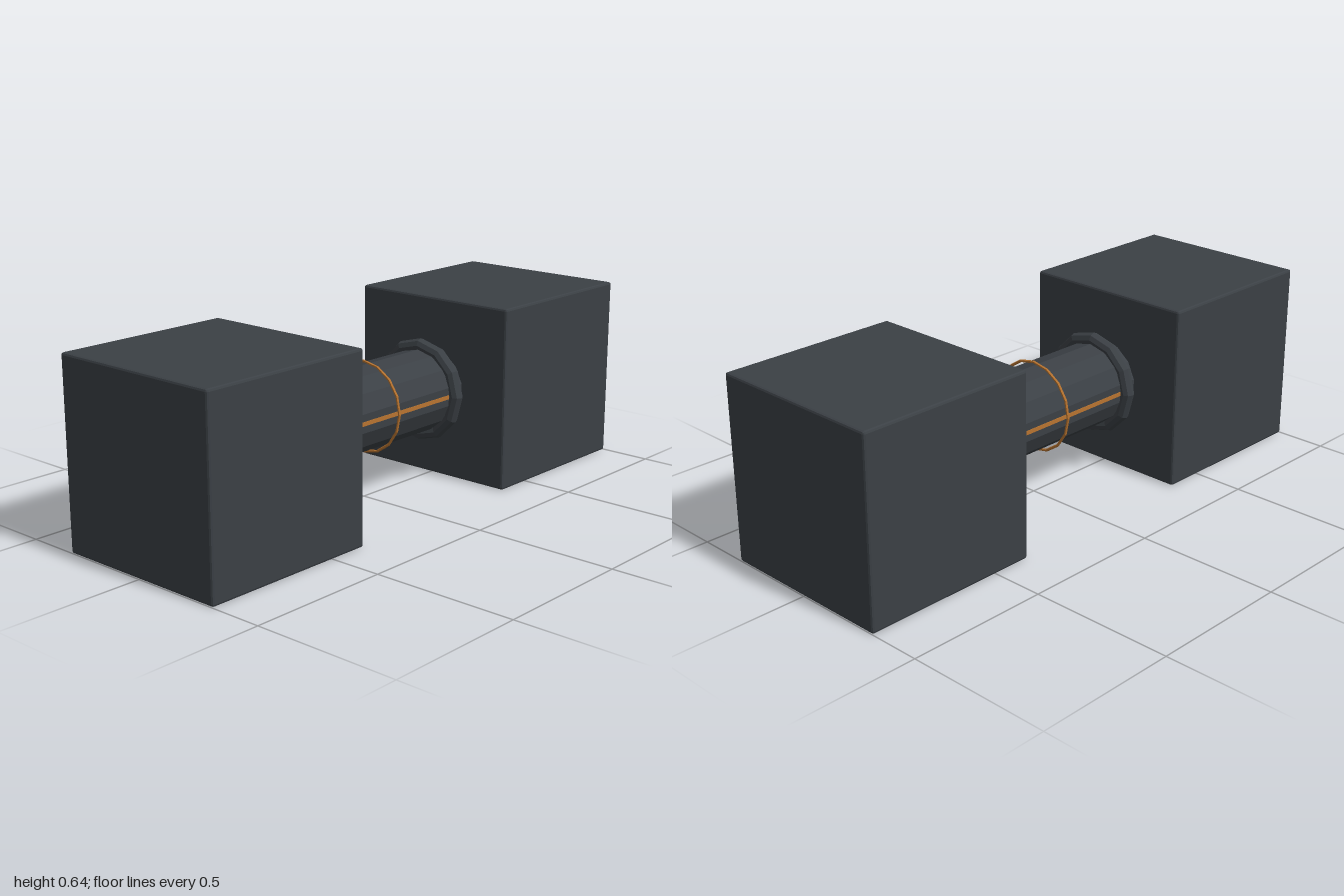
import * as THREE from 'three';
import { RoundedBoxGeometry } from 'three/addons/geometries/RoundedBoxGeometry.js';

export function createModel() {
  const model = new THREE.Group();
  model.name = 'dumbbellBeam';
  const steel = new THREE.MeshStandardMaterial({ name: 'darkSteel', color: 0x3b4045, flatShading: true });
  const copper = new THREE.MeshStandardMaterial({ name: 'copper', color: 0xb87430, flatShading: true });
  const midY = 0.32;

  const add = (name, geometry, material, x, y, z) => {
    const mesh = new THREE.Mesh(geometry, material);
    mesh.name = name;
    mesh.position.set(x, y, z);
    model.add(mesh);
    return mesh;
  };

  // Chamfered core running along z
  const profile = [[0, -0.36], [0.137, -0.36], [0.145, -0.352], [0.145, 0.352], [0.137, 0.36], [0, 0.36]];
  const core = new THREE.LatheGeometry(profile.map(([r, z]) => new THREE.Vector2(r, z)), 14);
  core.rotateX(Math.PI / 2);
  add('core', core, steel, 0, midY, 0);

  for (const side of [1, -1]) {
    const end = side > 0 ? 'front' : 'back';
    // Big end block with a narrow single chamfer
    add(end + 'Block', new RoundedBoxGeometry(0.64, 0.64, 0.64, 1, 0.008), steel, 0, midY, side * 0.68);
    // Raised collar near the block
    add(end + 'Collar', new THREE.TorusGeometry(0.16, 0.023, 8, 12), steel, 0, midY, side * 0.298);
    // Inlaid strip along each flank of the core
    add(side > 0 ? 'leftStrip' : 'rightStrip', new THREE.BoxGeometry(0.012, 0.014, 0.56),
      copper, side * 0.138, midY, 0);
  }

  // Thin hoop around the middle
  add('hoop', new THREE.TorusGeometry(0.158, 0.005, 6, 16), copper, 0, midY, 0);
  return model;
}
